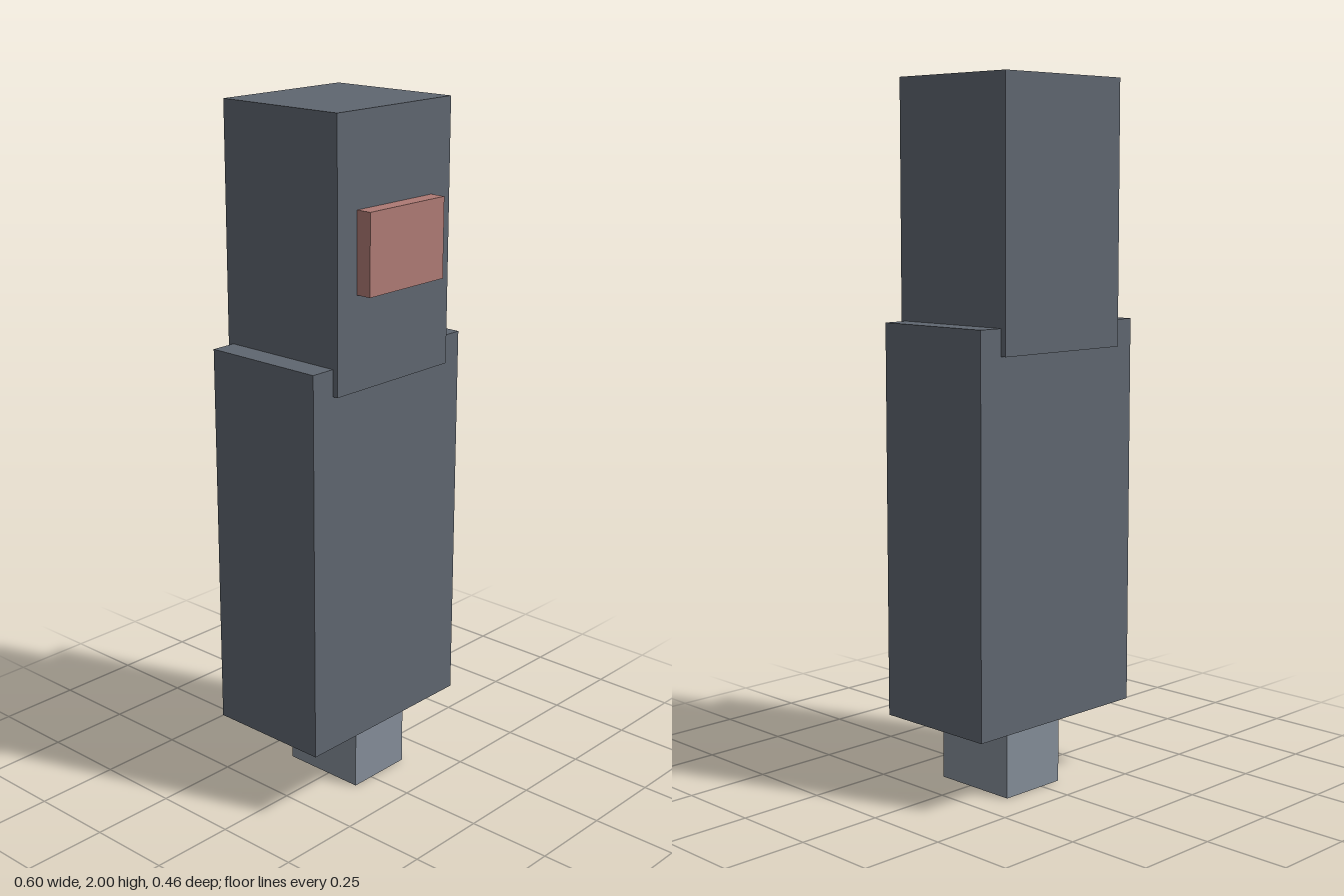
import * as THREE from 'three';

export function createModel() {
  const model = new THREE.Group();
  model.name = 'blockFigure';

  const makeMaterial = (name, color) => {
    const material = new THREE.MeshStandardMaterial({ color });
    material.name = name;
    return material;
  };
  const slate = makeMaterial('slate grey', 0x5f6670);
  const lightGrey = makeMaterial('light grey', 0x848d98);
  const dustyRed = makeMaterial('dusty red', 0xae7a74);

  // Box given by its lowest and highest corners
  const addBox = (name, material, min, max) => {
    const size = max.map((v, i) => v - min[i]);
    const mesh = new THREE.Mesh(new THREE.BoxGeometry(...size), material);
    mesh.position.set(...max.map((v, i) => (v + min[i]) / 2));
    mesh.name = name;
    model.add(mesh);
  };

  // Off-centre peg under the body
  addBox('foot', lightGrey, [-0.07, 0, -0.15], [0.14, 0.215, 0.11]);
  // Tall body
  addBox('body', slate, [-0.3, 0.21, -0.21], [0.3, 1.33, 0.165]);
  // Head, overlapping the top of the body and a little deeper
  addBox('head', slate, [-0.225, 1.255, -0.228], [0.225, 2, 0.182]);
  // Raised plate on the front of the head
  addBox('facePlate', dustyRed, [-0.15, 1.52, 0.18], [0.148, 1.745, 0.228]);

  return model;
}
